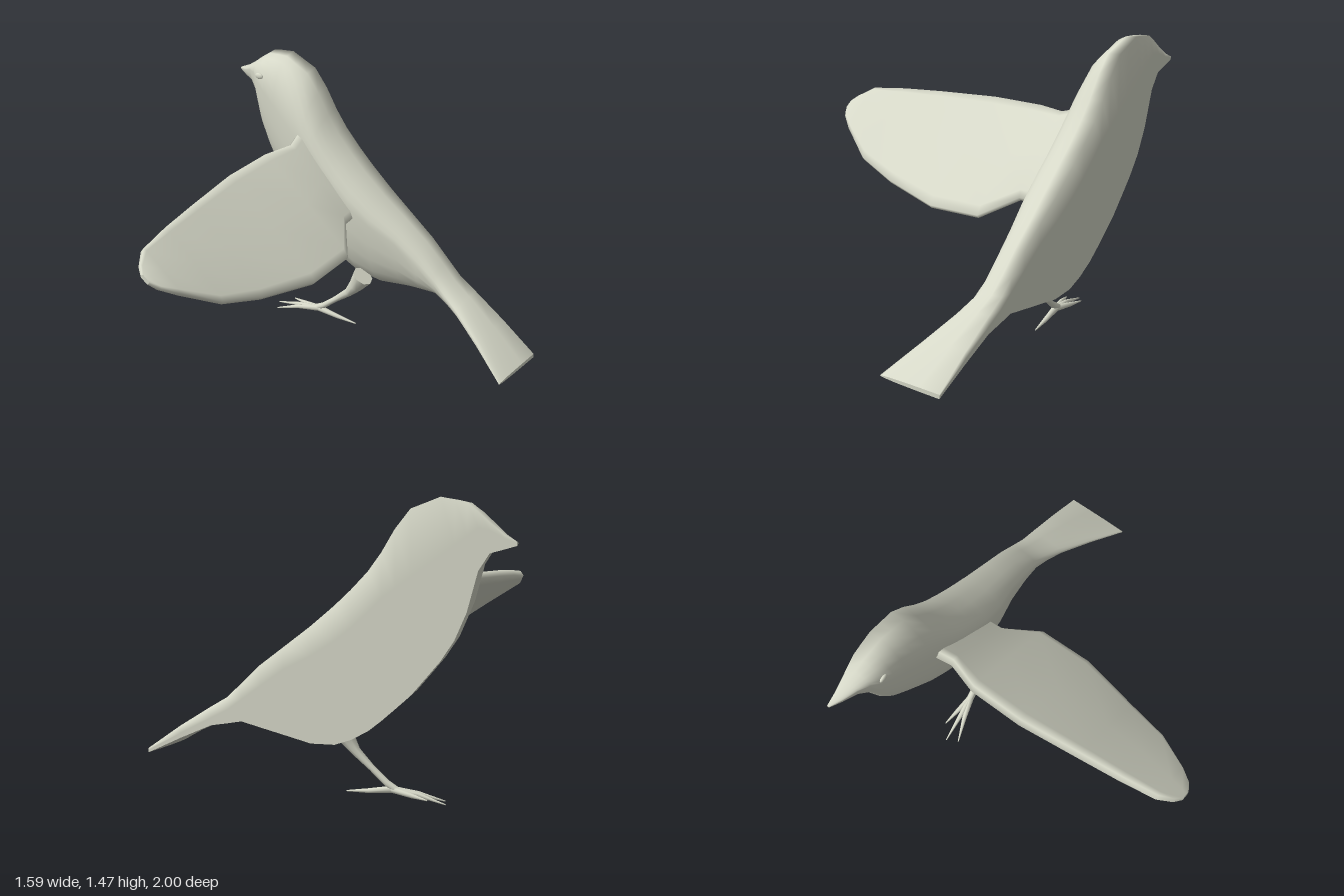
import * as THREE from 'three';

const CUT = 0.79; // plane where the half body ends

// Skin closed rings of Vector3 into one smooth solid with flat end caps
function loft(rings) {
  const n = rings[0].length;
  const pts = rings.flat().concat(rings[0], rings[rings.length - 1]);
  const index = [];
  for (let r = 0; r < rings.length - 1; r++) {
    for (let i = 0; i < n; i++) {
      const a = r * n + i, b = r * n + (i + 1) % n;
      index.push(a, b, a + n, b, b + n, a + n);
    }
  }
  const first = rings.length * n, last = first + n;
  for (let i = 1; i < n - 1; i++) {
    index.push(first, first + i + 1, first + i, last, last + i, last + i + 1);
  }
  // turn the faces outwards
  let volume = 0;
  const c = new THREE.Vector3();
  for (let i = 0; i < index.length; i += 3) {
    volume += c.crossVectors(pts[index[i]], pts[index[i + 1]]).dot(pts[index[i + 2]]);
  }
  if (volume < 0) index.reverse();
  const g = new THREE.BufferGeometry().setFromPoints(pts);
  g.setIndex(index);
  g.computeVertexNormals();
  return g;
}

// Half body from beak to tail: z, top y, bottom y, half width
const BODY = [
  [-1.0, 1.285, 1.268, 0.012], [-0.94, 1.315, 1.25, 0.05], [-0.87, 1.365, 1.23, 0.09],
  [-0.815, 1.41, 1.15, 0.125], [-0.76, 1.45, 0.96, 0.155], [-0.7, 1.462, 0.83, 0.17],
  [-0.63, 1.472, 0.73, 0.18], [-0.56, 1.445, 0.65, 0.195], [-0.48, 1.415, 0.56, 0.21],
  [-0.4, 1.32, 0.49, 0.22], [-0.33, 1.21, 0.43, 0.225], [-0.26, 1.12, 0.375, 0.23],
  [-0.17, 1.03, 0.325, 0.23], [-0.08, 0.95, 0.292, 0.23], [0.05, 0.845, 0.285, 0.215],
  [0.2, 0.735, 0.312, 0.18], [0.33, 0.64, 0.335, 0.163], [0.44, 0.54, 0.355, 0.153],
  [0.52, 0.468, 0.338, 0.162], [0.62, 0.41, 0.318, 0.19], [0.8, 0.3, 0.238, 0.26],
  [1.0, 0.165, 0.143, 0.345],
];

function bodyRing([z, top, bottom, w]) {
  // height of the widest line, which runs straight from head to tail
  const line = z < 0.52 ? 1.33 - (z + 0.8) * 0.7 : 0.406 - (z - 0.52) * 0.525;
  const h = top - bottom;
  const mid = THREE.MathUtils.clamp(line, bottom + h * 0.4, top - h * 0.25);
  const ring = [];
  for (let i = 0; i <= 12; i++) {
    const a = -Math.PI / 2 + Math.PI * i / 12;
    const c = Math.pow(Math.max(0, Math.cos(a)), 0.8), s = Math.sin(a);
    const y = mid + Math.sign(s) * Math.pow(Math.abs(s), 0.95) * (s > 0 ? top - mid : mid - bottom);
    ring.push(new THREE.Vector3(CUT - w * c, y, z));
  }
  // doubled points keep the lower part of the cut face flat
  const crease = new THREE.Vector3(CUT, mid, z);
  ring.push(crease, crease.clone(), new THREE.Vector3(CUT, bottom, z));
  return ring;
}

// Wing from root to tip: x, leading y, z, trailing y, z, thickness
const WING = [
  [0.64, 1.11, -0.46, 0.72, -0.06, 0.07], [0.5, 1.065, -0.43, 0.715, -0.05, 0.06],
  [0.34, 1.055, -0.48, 0.625, 0.085, 0.06], [0.05, 1.043, -0.485, 0.612, 0.09, 0.06],
  [-0.28, 1.02, -0.45, 0.65, 0.01, 0.06], [-0.51, 1.0, -0.425, 0.71, -0.05, 0.055],
  [-0.7, 0.977, -0.395, 0.81, -0.16, 0.05], [-0.77, 0.935, -0.35, 0.85, -0.215, 0.04],
  [-0.8, 0.91, -0.31, 0.88, -0.265, 0.025],
];
// chord fraction and thickness fraction around the section
const SECTION = [[0, 0.3], [0.07, 0.5], [0.5, 0.5], [0.93, 0.5], [1, 0.2],
  [1, -0.2], [0.93, -0.5], [0.5, -0.5], [0.07, -0.5], [0, -0.3]];

function wingRing([x, ly, lz, ty, tz, t]) {
  return SECTION.map(([s, k]) => new THREE.Vector3(
    x, ly + (ty - ly) * s + 0.79 * k * t, lz + (tz - lz) * s + 0.62 * k * t));
}

// Tapered round limb through points [x, y, z, radius]
function limb(points) {
  const p = points.map(q => new THREE.Vector3(q[0], q[1], q[2]));
  const rings = points.map((q, i) => {
    const t = p[Math.min(i + 1, p.length - 1)].clone().sub(p[Math.max(i - 1, 0)]).normalize();
    const v = t.clone().cross(new THREE.Vector3(1, 0, 0)).normalize();
    const u = v.clone().cross(t);
    return Array.from({ length: 8 }, (_, k) => {
      const a = k * Math.PI / 4;
      return p[i].clone().addScaledVector(u, Math.cos(a) * q[3]).addScaledVector(v, Math.sin(a) * q[3]);
    });
  });
  return loft(rings);
}

export function createModel() {
  const model = new THREE.Group();
  model.name = 'halfBird';
  const clay = new THREE.MeshStandardMaterial({ color: 0xd6d8c8 });
  clay.name = 'paleClay';
  const add = (name, geometry, parent = model) => {
    const mesh = new THREE.Mesh(geometry, clay);
    mesh.name = name;
    parent.add(mesh);
    return mesh;
  };

  add('body', loft(BODY.map(bodyRing)));
  add('wing', loft(WING.map(wingRing)));

  // small raised eye on the side of the head
  const eye = add('eye', new THREE.SphereGeometry(0.022, 12, 8));
  eye.scale.set(0.5, 0.8, 1.2);
  eye.position.set(0.637, 1.345, -0.75);

  // leg and foot
  const leg = new THREE.Group();
  leg.name = 'leg';
  model.add(leg);
  add('shank', limb([[0.61, 0.36, 0.0, 0.06], [0.605, 0.285, -0.045, 0.04], [0.6, 0.225, -0.09, 0.024],
    [0.595, 0.15, -0.175, 0.016], [0.588, 0.085, -0.25, 0.017], [0.585, 0.055, -0.3, 0.018]]), leg);
  const toes = [
    [[0.545, 0.04, -0.4], [0.5, 0.006, -0.52]],
    [[0.57, 0.04, -0.41], [0.56, 0.006, -0.55]],
    [[0.602, 0.04, -0.39], [0.615, 0.03, -0.48]],
    [[0.6, 0.038, -0.16], [0.615, 0.028, -0.045]],
  ];
  for (const [knuckle, tip] of toes) {
    add('toe', limb([[0.585, 0.055, -0.28, 0.018], [...knuckle, 0.012], [...tip, 0.003]]), leg);
  }
  return model;
}
